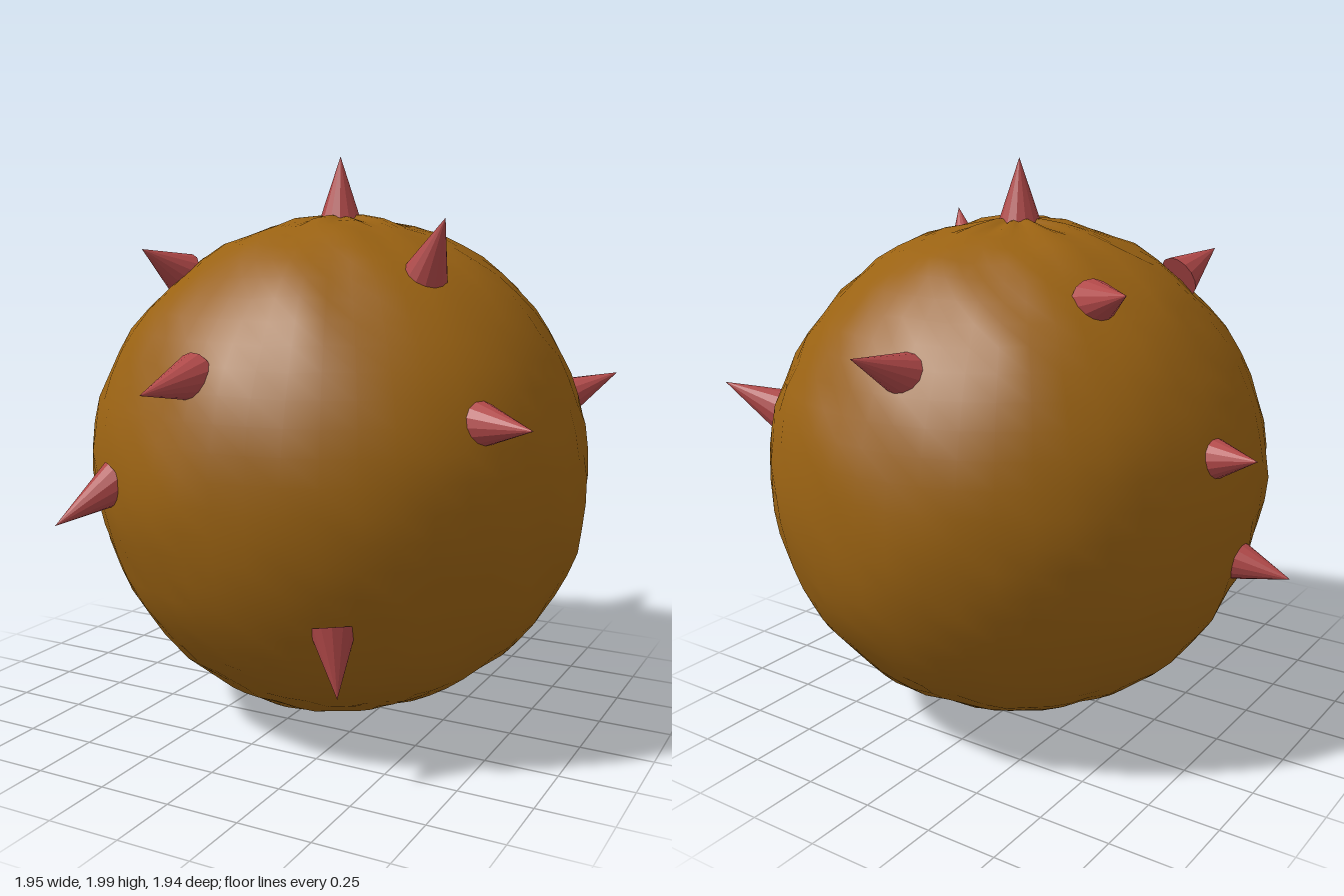
import * as THREE from 'three';
import { mergeVertices } from 'three/addons/utils/BufferGeometryUtils.js';

const CENTRE = new THREE.Vector3(0.065, 0.905, -0.045);
const RADIUS = 0.89;

// Smooth lumps plus a finer ripple, from a unit direction
function lumps(d) {
  const broad = Math.sin(4.1 * d.x + 1.3) * Math.sin(3.7 * d.y + 0.4) * Math.sin(4.5 * d.z + 2.1);
  const medium = Math.sin(9 * d.x + 5 * d.y) * Math.sin(10 * d.z - 4 * d.y + 0.7);
  const fine = Math.sin(23 * d.x + 11 * d.z) * Math.sin(21 * d.y + 1.9) + Math.sin(25 * d.z - 13 * d.x + 9 * d.y);
  return 0.012 * broad + 0.006 * medium + 0.004 * fine;
}

// Lumpy ball, puckered into folds at both poles
function makeBody() {
  let geo = new THREE.SphereGeometry(1, 48, 32);
  geo.deleteAttribute('uv');
  geo.deleteAttribute('normal');
  geo = mergeVertices(geo, 1e-4);
  const pos = geo.attributes.position;
  const d = new THREE.Vector3();
  for (let i = 0; i < pos.count; i++) {
    d.fromBufferAttribute(pos, i).normalize();
    const ring = Math.hypot(d.x, d.z);
    const angle = Math.atan2(d.z, d.x);
    const pucker = Math.exp(-((ring - 0.14) ** 2) / 0.008);
    const fold = 0.008 * pucker * (Math.sin(9 * angle) + 0.6 * Math.sin(5 * angle + 1));
    d.multiplyScalar(RADIUS + lumps(d) * Math.min(1, ring * 3) + fold).add(CENTRE);
    pos.setXYZ(i, d.x, Math.max(0, d.y), d.z);
  }
  geo.computeVertexNormals();
  const body = new THREE.Mesh(geo, new THREE.MeshStandardMaterial({ color: 0x9a6212 }));
  body.name = 'body';
  return body;
}

// Each spike: base centre on the skin, then tip
const SPIKES = [
  [[0.06, 1.79, -0.04], [0.06, 2.0, -0.04]],
  [[0.52, 1.61, 0.26], [0.61, 1.78, 0.33]],
  [[-0.42, 1.60, 0.27], [-0.47, 1.68, 0.42]],
  [[-0.43, 1.58, -0.33], [-0.60, 1.63, -0.44]],
  [[-0.06, 1.29, 0.74], [-0.09, 1.26, 0.97]],
  [[0.77, 1.16, 0.41], [0.97, 1.17, 0.52]],
  [[0.74, 1.13, -0.57], [0.91, 1.22, -0.66]],
  [[-0.01, 1.38, -0.77], [0.02, 1.46, -0.97]],
  [[-0.77, 1.09, -0.17], [-0.96, 1.13, -0.25]],
  [[-0.78, 0.69, 0.02], [-0.98, 0.66, 0.02]],
  [[-0.41, 0.91, 0.69], [-0.53, 0.79, 0.85]],
  [[0.39, 0.51, 0.65], [0.43, 0.32, 0.70]],
];

function makeSpike(base, tip, material) {
  const from = new THREE.Vector3(...base);
  const to = new THREE.Vector3(...tip);
  const axis = to.clone().sub(from).normalize();
  from.addScaledVector(axis, -0.02); // sink the base into the skin
  const length = from.distanceTo(to);
  const geo = new THREE.ConeGeometry(0.078, length, 14);
  geo.translate(0, length / 2, 0);
  const spike = new THREE.Mesh(geo, material);
  spike.position.copy(from);
  spike.quaternion.setFromUnitVectors(new THREE.Vector3(0, 1, 0), axis);
  spike.name = 'spike';
  return spike;
}

export function createModel() {
  const model = new THREE.Group();
  model.name = 'spikyBall';
  model.add(makeBody());

  const spikes = new THREE.Group();
  spikes.name = 'spikes';
  const material = new THREE.MeshStandardMaterial({ color: 0xb04848, flatShading: true });
  for (const [base, tip] of SPIKES) spikes.add(makeSpike(base, tip, material));
  model.add(spikes);
  return model;
}
